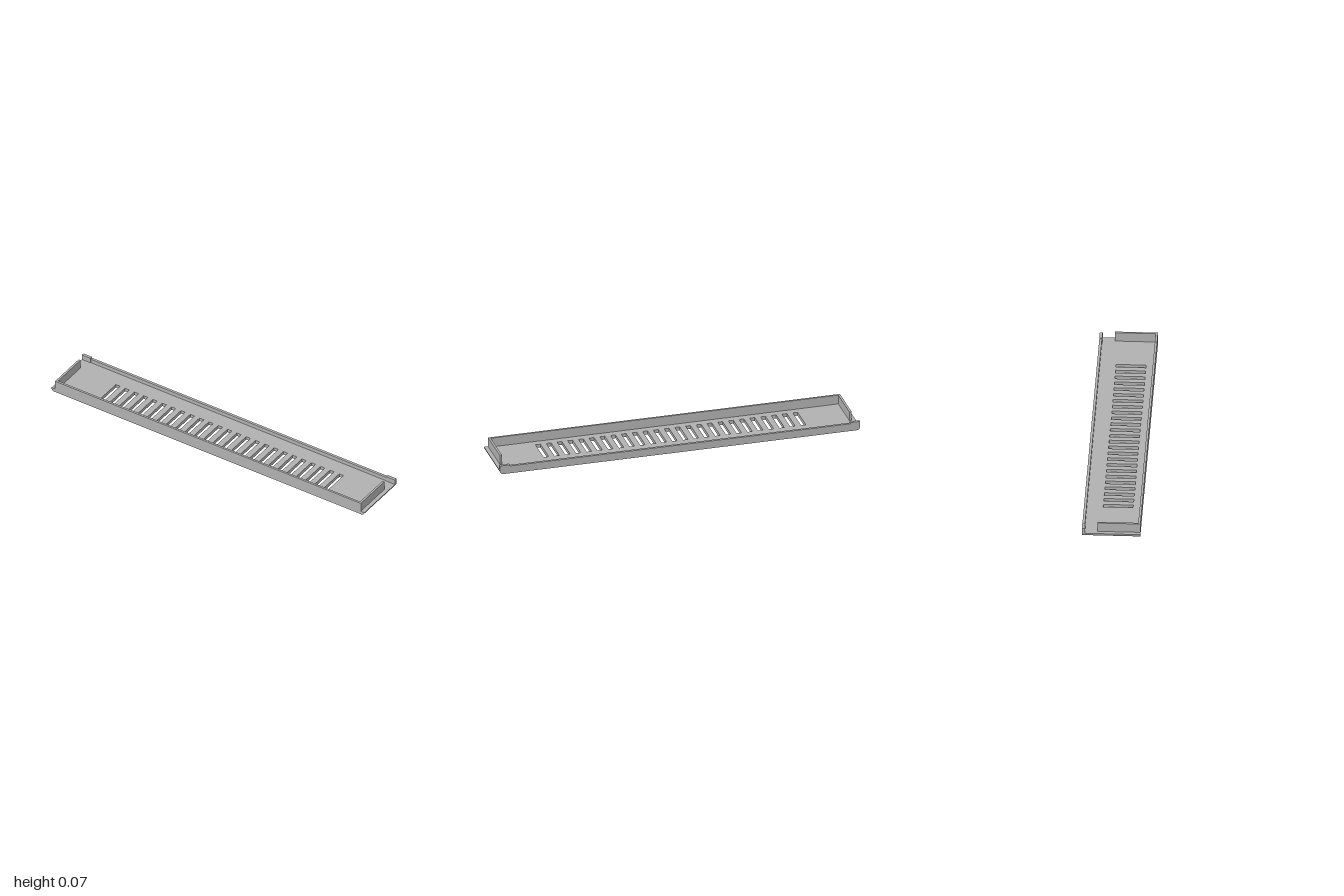
import * as THREE from 'three';

const grey = new THREE.MeshStandardMaterial({ color: 0xb0b0b0 });
grey.name = 'plain grey';

const D = 0.156;    // half depth
const T = 0.02;     // floor thickness and edge radius
const SLOTS = 25;

export function createModel() {
  const model = new THREE.Group();
  model.name = 'ventedTray';

  const add = (name, geometry) => {
    const mesh = new THREE.Mesh(geometry, grey);
    mesh.name = name;
    model.add(mesh);
    return mesh;
  };
  // Box given by its lower and upper limits
  const box = (name, x0, x1, y0, y1, z0, z1) =>
    add(name, new THREE.BoxGeometry(x1 - x0, y1 - y0, z1 - z0))
      .position.set((x0 + x1) / 2, (y0 + y1) / 2, (z0 + z1) / 2);

  // Closed rectangle; shape y becomes -z after the plate is laid flat
  const rect = (path, x0, x1, z0, z1) => {
    path.moveTo(x0, -z1);
    path.lineTo(x1, -z1);
    path.lineTo(x1, -z0);
    path.lineTo(x0, -z0);
    path.closePath();
    return path;
  };

  // Floor plate with a row of vent slots
  const floor = rect(new THREE.Shape(), -1 + T, 1 - T, -D, D);
  for (let i = 0; i < SLOTS; i++) {
    const x = (i - (SLOTS - 1) / 2) * 0.0595;
    floor.holes.push(rect(new THREE.Path(), x - 0.0135, x + 0.0135, -0.055, 0.105));
  }
  const plate = new THREE.ExtrudeGeometry(floor, { depth: T, bevelEnabled: false });
  add('slottedFloor', plate.rotateX(-Math.PI / 2));

  // Rounded lower edge at each end of the floor
  const edge = new THREE.Shape();
  edge.moveTo(0, 0);
  edge.absarc(0, T, T, -Math.PI / 2, 0, false);
  edge.lineTo(0, T);
  edge.closePath();
  for (const side of [-1, 1]) {
    const label = side > 0 ? 'left' : 'right';
    const geometry = new THREE.ExtrudeGeometry(edge, { depth: 2 * D, bevelEnabled: false, curveSegments: 10 });
    geometry.translate(0, 0, -D);
    if (side < 0) geometry.rotateY(Math.PI);
    add(label + 'RoundedEdge', geometry).position.x = side * (1 - T);

    // Short side wall, stopping before the back lip
    const a = side * 0.965, b = side * 0.977;
    box(label + 'SideWall', Math.min(a, b), Math.max(a, b), T, 0.072, -0.073, D - 0.012);

    // Raised tab at the end of the back lip
    const c = side * 0.945, d = side;
    box(label + 'BackTab', Math.min(c, d), Math.max(c, d), T, 0.05, -D, -0.14);
  }

  // Front wall and the lower back lip
  box('frontWall', -0.977, 0.977, T, 0.072, D - 0.012, D);
  box('backLip', -0.945, 0.945, T, 0.043, -D, -0.142);

  return model;
}
